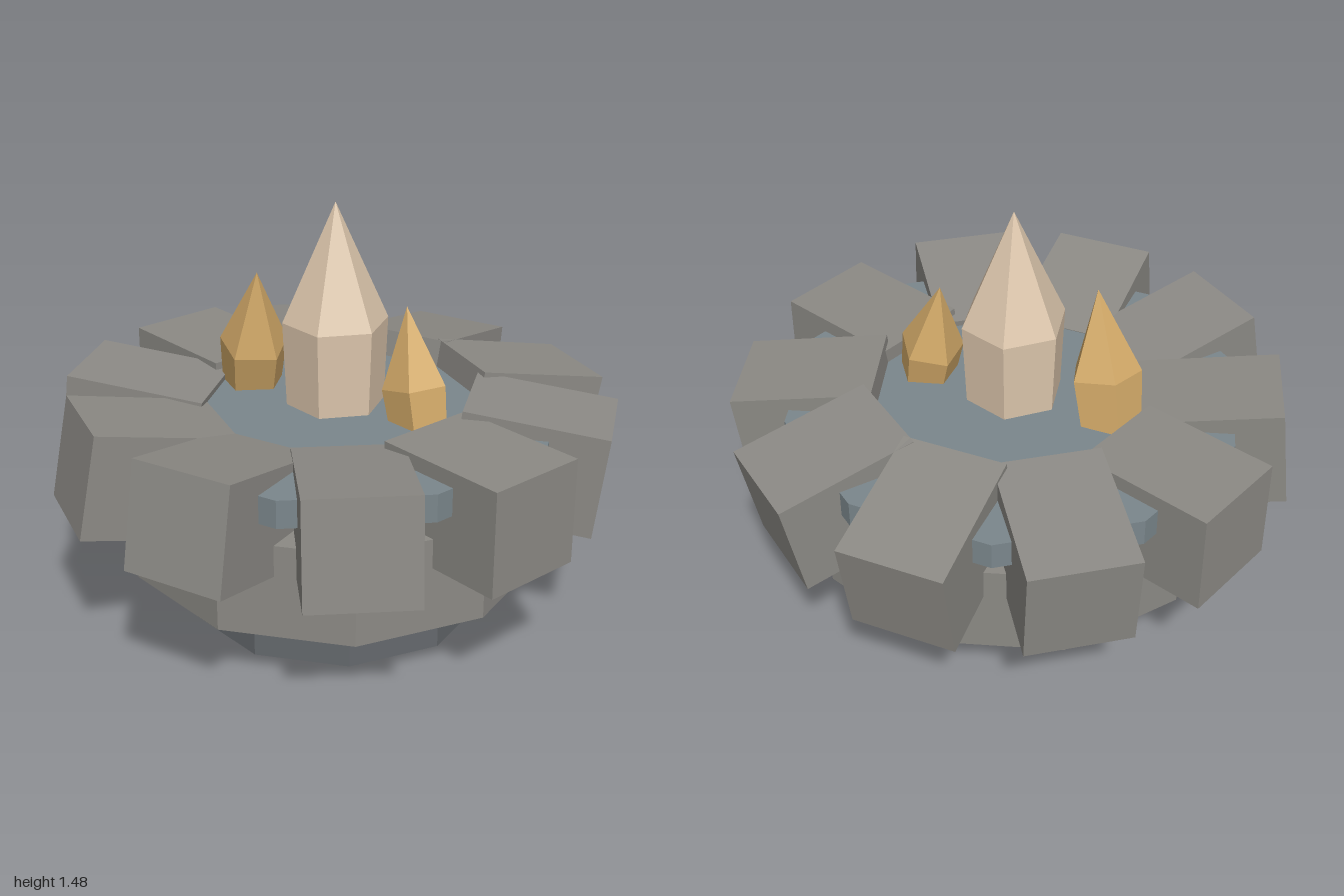
import * as THREE from 'three';

const mat = (color) => new THREE.MeshStandardMaterial({ color, flatShading: true });

export function createModel() {
  const model = new THREE.Group();
  const rock = mat(0x8c8a85), foot = mat(0x65696d), water = mat(0x7b878c);
  const pale = mat(0xdcc6ac), amber = mat(0xd2a968);

  const add = (name, geometry, material, parent = model) => {
    const mesh = new THREE.Mesh(geometry, material);
    mesh.name = name;
    parent.add(mesh);
    return mesh;
  };

  // Ten-sided drum between two heights
  const drum = (name, radius, y0, y1, material, turn) => {
    const geometry = new THREE.CylinderGeometry(radius, radius, y1 - y0, 10);
    geometry.rotateY(turn).translate(0, (y0 + y1) / 2, 0);
    add(name, geometry, material);
  };
  drum('foot', 0.54, 0, 0.21, foot, Math.PI / 2);
  drum('basin', 0.75, 0.21, 0.545, rock, Math.PI / 2);
  drum('pool', 0.81, 0.66, 0.757, water, 0);

  // Ring of rim stones, pitched up at the front and down at the back
  const stones = new THREE.Group();
  stones.name = 'rimStones';
  model.add(stones);
  const block = new THREE.BoxGeometry(0.5, 0.37, 0.37);
  for (let i = 0; i < 10; i++) {
    const a = (i / 10) * Math.PI * 2;
    const stone = add('rimStone', block, rock, stones);
    stone.position.set(Math.cos(a) * 0.705, 0.625, Math.sin(a) * 0.705);
    stone.rotation.set(0, -a, Math.sin(a) * 0.2);
  }

  // Faceted crystal: prism below its shoulder, point above; origin at the shoulder
  const crystal = (name, sides, turn, radius, rBase, body, tip, material, position, lean) => {
    const group = new THREE.Group();
    group.name = name;
    const prism = new THREE.CylinderGeometry(radius, rBase, body, sides);
    prism.rotateY(turn).translate(0, -body / 2, 0);
    const point = new THREE.ConeGeometry(radius, tip, sides, 1, true);
    point.rotateY(turn).translate(0, tip / 2, 0);
    add(name + 'Body', prism, material, group);
    add(name + 'Point', point, material, group);
    group.position.set(...position);
    group.rotation.set(lean[0], 0, lean[1]);
    model.add(group);
  };
  crystal('mainCrystal', 6, Math.PI / 2, 0.187, 0.173, 0.34, 0.42, pale, [0, 1.06, 0], [0, 0]);
  crystal('rightCrystal', 5, Math.PI / 2, 0.127, 0.11, 0.22, 0.3, amber, [-0.307, 0.915, 0.12], [0.12, -0.23]);
  crystal('leftCrystal', 5, Math.PI, 0.116, 0.1, 0.2, 0.275, amber, [0.292, 0.875, -0.108], [-0.03, 0.21]);

  return model;
}
